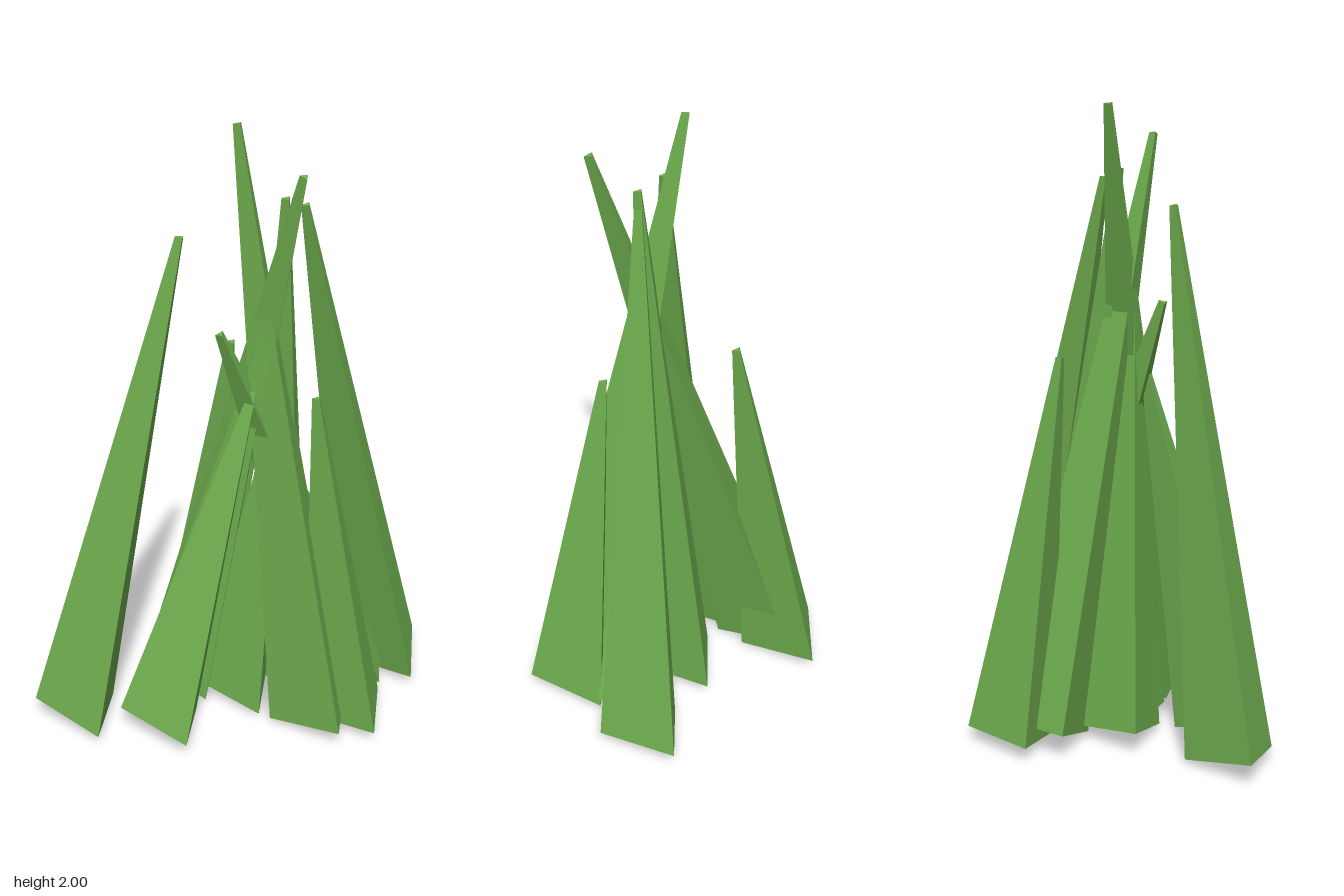
import * as THREE from 'three';

// Each blade: base centre x, z, then tip x, y, z
const BLADES = [
  [0.285, -0.41, 0.13, 1.76, -0.08],
  [-0.37, -0.22, -0.19, 1.215, -0.125],
  [-0.33, -0.115, 0.22, 1.9, 0.06],
  [-0.225, 0.09, 0.09, 1.41, 0.03],
  [0.005, -0.145, 0.1, 1.79, -0.02],
  [0.365, -0.05, 0.225, 1.165, -0.015],
  [0.29, 0.047, -0.07, 1.995, -0.005],
  [-0.085, 0.38, 0.05, 1.17, 0.08],
  [-0.365, 0.49, -0.12, 1.69, 0.22],
  [-0.03, 0.053, 0.1, 1.13, 0.0],
  [0.23, -0.29, -0.02, 1.38, 0.16],
];
const BASE_RADIUS = 0.162;
const TIP_RADIUS = 0.016;
const UP = new THREE.Vector3(0, 1, 0);

export function createModel() {
  const group = new THREE.Group();
  group.name = 'grassTuft';
  const green = new THREE.MeshStandardMaterial({ color: 0x70b050 });
  green.name = 'grass green';
  green.flatShading = true;

  // Three-sided tapering blades, leaning with their bases square to the axis
  BLADES.forEach(([bx, bz, tx, ty, tz], i) => {
    const tip = new THREE.Vector3(tx, ty, tz);
    const lean = Math.hypot(tx - bx, tz - bz) / ty;
    const base = new THREE.Vector3(bx, 0.01 + lean * 0.13, bz);
    const axis = tip.clone().sub(base);
    const geometry = new THREE.CylinderGeometry(
      TIP_RADIUS, BASE_RADIUS, axis.length(), 3, 1, false, Math.PI);
    const blade = new THREE.Mesh(geometry, green);
    blade.name = `grassBlade${i + 1}`;
    blade.position.copy(base).add(tip).multiplyScalar(0.5);
    blade.quaternion.setFromUnitVectors(UP, axis.normalize());
    group.add(blade);
  });
  return group;
}
